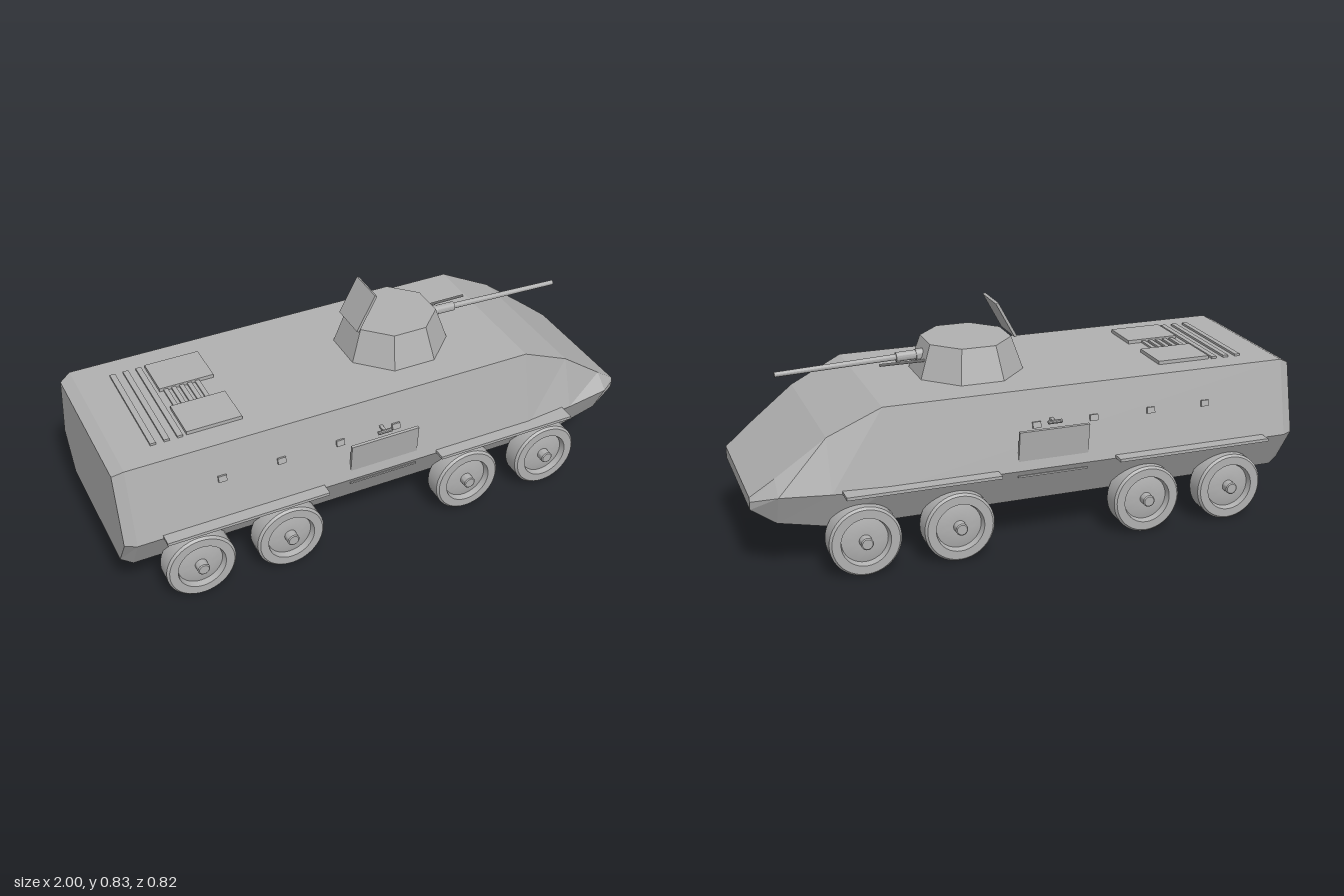
import * as THREE from 'three';
import { toCreasedNormals } from 'three/addons/utils/BufferGeometryUtils.js';

export function createModel() {
  const group = new THREE.Group();
  const grey = new THREE.MeshStandardMaterial({ color: 0xb0b0b0 });
  grey.name = 'armour grey';

  const add = (name, geometry, x = 0, y = 0, z = 0) => {
    const mesh = new THREE.Mesh(geometry, grey);
    mesh.name = name;
    mesh.position.set(x, y, z);
    group.add(mesh);
    return mesh;
  };
  const box = (name, w, h, d, x, y, z) => add(name, new THREE.BoxGeometry(w, h, d), x, y, z);

  // Straight, optionally tapered rod between two points
  const rod = (name, from, to, r0, r1, sides = 16) => {
    const a = new THREE.Vector3(...from), b = new THREE.Vector3(...to);
    const dir = b.clone().sub(a);
    const geo = toCreasedNormals(new THREE.CylinderGeometry(r1, r0, dir.length(), sides), 0.7);
    const mesh = add(name, geo);
    mesh.position.copy(a).add(b).multiplyScalar(0.5);
    mesh.quaternion.setFromUnitVectors(new THREE.Vector3(0, 1, 0), dir.normalize());
    return mesh;
  };

  // Faceted hull: x, then height and half width of bottom, waist and top edges
  const stations = [
    [-1, 0.18, 0.26, 0.31, 0.345, 0.565, 0.288],
    [-0.96, 0.16, 0.275, 0.31, 0.365, 0.585, 0.305],
    [0.55, 0.16, 0.275, 0.31, 0.365, 0.585, 0.305],
    [0.74, 0.167, 0.275, 0.312, 0.345, 0.495, 0.287],
    [0.915, 0.2, 0.262, 0.315, 0.32, 0.364, 0.265],
    [1, 0.255, 0.245, 0.285, 0.25, 0.3, 0.245],
  ];
  const points = [], faces = [];
  for (const [x, yb, zb, ym, zm, yt, zt] of stations) {
    points.push(x, yb, zb, x, ym, zm, x, yt, zt, x, yt, -zt, x, ym, -zm, x, yb, -zb);
  }
  for (let s = 0; s < stations.length - 1; s++) {
    for (let i = 0; i < 6; i++) {
      const j = (i + 1) % 6, a = s * 6, b = a + 6;
      faces.push(a + i, b + i, b + j, a + i, b + j, a + j);
    }
  }
  const last = (stations.length - 1) * 6;
  for (let i = 1; i < 5; i++) {
    faces.push(0, i, i + 1, last, last + i + 1, last + i);
  }
  const indexed = new THREE.BufferGeometry();
  indexed.setAttribute('position', new THREE.Float32BufferAttribute(points, 3));
  indexed.setIndex(faces);
  const hull = indexed.toNonIndexed();
  hull.computeVertexNormals();
  add('hull', hull);

  // Eight-sided turret with flat faces forward and sideways
  const turret = new THREE.CylinderGeometry(0.164, 0.207, 0.12, 8);
  turret.rotateY(Math.PI / 8);
  add('turret', toCreasedNormals(turret, 0.2), 0.157, 0.645, 0);

  // Open hatch leaning forward from the rear of the turret
  const hatch = box('turretHatch', 0.01, 0.148, 0.143, 0.026, 0.769, 0);
  hatch.rotation.z = -0.5;

  // Main gun and coaxial gun
  rod('gunMantlet', [0.28, 0.655, 0], [0.345, 0.653, 0], 0.021, 0.021, 20);
  rod('gunSleeve', [0.3, 0.656, 0], [0.417, 0.652, 0], 0.017, 0.017);
  rod('gunBarrel', [0.4, 0.653, 0], [0.85, 0.636, 0], 0.011, 0.009);
  rod('coaxialGun', [0.28, 0.646, -0.054], [0.49, 0.646, -0.054], 0.005, 0.005, 10);

  // Engine deck covers, lengthwise bars and rear cross slats
  for (const side of [-1, 1]) {
    box('engineCover', 0.2, 0.014, 0.158, -0.612, 0.591, side * 0.133);
  }
  for (let i = 0; i < 5; i++) {
    box('grilleBar', 0.016, 0.008, 0.108, -0.69 + i * 0.029, 0.588, 0);
  }
  for (const x of [-0.83, -0.782, -0.735]) {
    box('rearSlat', 0.02, 0.01, 0.43, x, 0.588, 0);
  }

  // Dished wheel turned around its axle, outer face toward +z
  const profile = [
    [0, 0], [0.078, 0], [0.088, -0.04], [0.119, -0.04], [0.127, -0.032],
    [0.127, 0.032], [0.119, 0.04], [0.088, 0.04], [0.082, 0.018], [0.05, 0.026],
    [0.022, 0.026], [0.022, 0.055], [0.018, 0.058], [0, 0.058],
  ].map(([r, y]) => new THREE.Vector2(r, y));
  const wheel = toCreasedNormals(new THREE.LatheGeometry(profile, 40).rotateX(Math.PI / 2), 0.5);

  // Parts repeated on both flanks
  for (const side of [-1, 1]) {
    for (const x of [-0.745, -0.41, 0.3, 0.635]) {
      add('wheel', wheel, x, 0.13, side * 0.325).rotation.y = side > 0 ? 0 : Math.PI;
    }
    box('rearFender', 0.59, 0.011, 0.066, -0.575, 0.316, side * 0.375);
    box('frontFender', 0.545, 0.011, 0.066, 0.433, 0.316, side * 0.375);

    // Side door hinged at the bottom, with handle and step
    const door = box('sideDoor', 0.26, 0.112, 0.011, -0.046, 0.4, side * 0.359);
    door.rotation.x = side * 0.11;
    rod('doorHandle', [-0.073, 0.478, side * 0.363], [-0.022, 0.478, side * 0.363], 0.007, 0.007, 10);
    box('doorHandleMount', 0.012, 0.008, 0.04, -0.046, 0.477, side * 0.343);
    box('doorStep', 0.26, 0.006, 0.012, -0.046, 0.285, side * 0.35);

    // Vision blocks along the upper flank
    for (const x of [-0.64, -0.425, -0.205, 0.01]) {
      const block = box('visionBlock', 0.03, 0.022, 0.014, x, 0.463, side * 0.333);
      block.rotation.x = -side * 0.215;
    }
  }
  return group;
}
